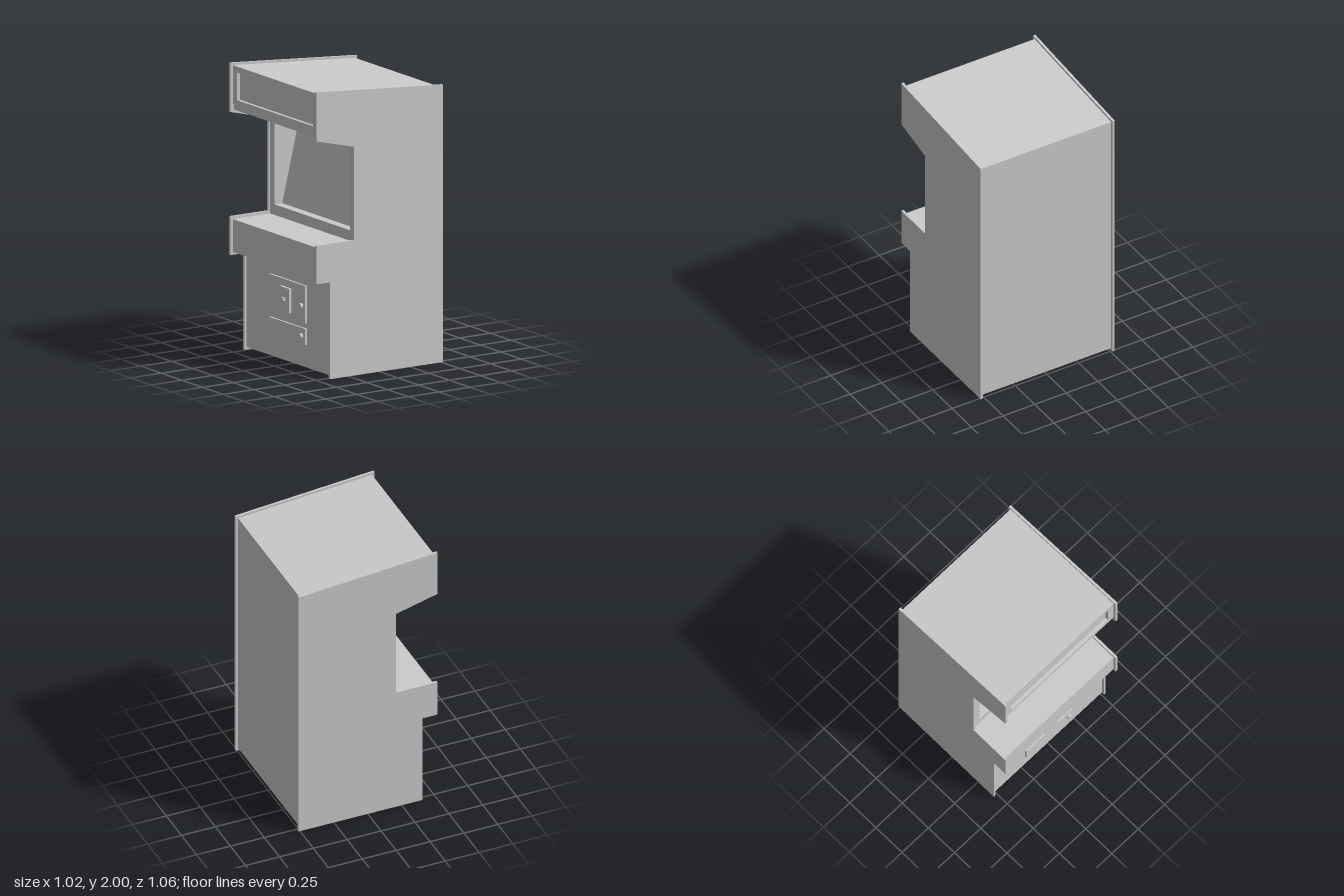
import * as THREE from 'three';

const material = new THREE.MeshStandardMaterial({ color: 0xcccccc });

export function createModel() {
  const cabinet = new THREE.Group();
  cabinet.name = 'arcadeCabinet';

  function add(name, geometry, x = 0, y = 0, z = 0) {
    const mesh = new THREE.Mesh(geometry, material);
    mesh.name = name;
    mesh.position.set(x, y, z);
    cabinet.add(mesh);
    return mesh;
  }
  // Extrudes a side profile (x, y) between two z planes
  function slab(name, points, z0, z1) {
    const shape = new THREE.Shape(points.map(([x, y]) => new THREE.Vector2(x, y)));
    const geometry = new THREE.ExtrudeGeometry(shape, { depth: z1 - z0, bevelEnabled: false });
    return add(name, geometry, 0, 0, z0);
  }
  // Box from its front face (towards -x), with given y range and half width
  function plate(name, xFront, xBack, y0, y1, halfWidth, z = 0) {
    add(name, new THREE.BoxGeometry(xBack - xFront, y1 - y0, halfWidth * 2),
      (xFront + xBack) / 2, (y0 + y1) / 2, z);
  }

  const outer = 0.53, inner = 0.512, opening = 0.46;

  // Outer side panels, standing proud of the body all round
  const sideProfile = [
    [-0.513, 2], [-0.513, 1.66], [-0.208, 1.583], [-0.208, 0.937], [-0.513, 0.937],
    [-0.513, 0.67], [-0.402, 0.67], [-0.402, 0], [0.51, 0], [0.51, 1.92],
  ];
  slab('leftSidePanel', sideProfile, inner, outer);
  slab('rightSidePanel', sideProfile, -outer, -inner);

  // Body: the middle holds the sign and screen recesses, the cheeks close their ends
  const lower = [
    [-0.193, 0.917], [-0.495, 0.917], [-0.495, 0.69], [-0.385, 0.69],
    [-0.385, 0.018], [0.493, 0.018], [0.493, 1.905],
  ];
  const top = [-0.487, 1.982];
  const underside = [[-0.487, 1.675], [-0.193, 1.602]];
  const signRecess = [[-0.487, 1.94], [-0.472, 1.94], [-0.472, 1.75], [-0.487, 1.75]];
  const screenRecess = [[-0.193, 1.55], [0.005, 1.55], [-0.13, 0.99], [-0.193, 0.99]];
  slab('body', [top, ...signRecess, ...underside, ...screenRecess, ...lower], -opening, opening);
  const cheek = [top, ...underside, ...lower];
  slab('leftCheek', cheek, opening, inner);
  slab('rightCheek', cheek, -inner, -opening);

  // Raised frame around the sign
  plate('signFrameTop', -0.495, -0.487, 1.94, 1.982, inner);
  plate('signFrameBottom', -0.495, -0.487, 1.715, 1.75, inner);
  for (const s of [-1, 1]) {
    plate('signFrameSide', -0.495, -0.487, 1.75, 1.94, (inner - opening) / 2, s * (inner + opening) / 2);
  }

  // Coin door, cash door and coin slot box
  plate('coinDoor', -0.4, -0.385, 0.325, 0.585, 0.22);
  plate('cashDoor', -0.4, -0.385, 0.175, 0.287, 0.22);
  plate('coinBox', -0.42, -0.4, 0.365, 0.535, 0.055);
  plate('coinButton', -0.44, -0.42, 0.445, 0.465, 0.012);

  // Round locks near the edge of each door
  for (const y of [0.44, 0.23]) {
    const lock = add('doorLock', new THREE.CylinderGeometry(0.02, 0.02, 0.02, 24), -0.41, y, 0.18);
    lock.rotation.z = Math.PI / 2;
  }

  return cabinet;
}
